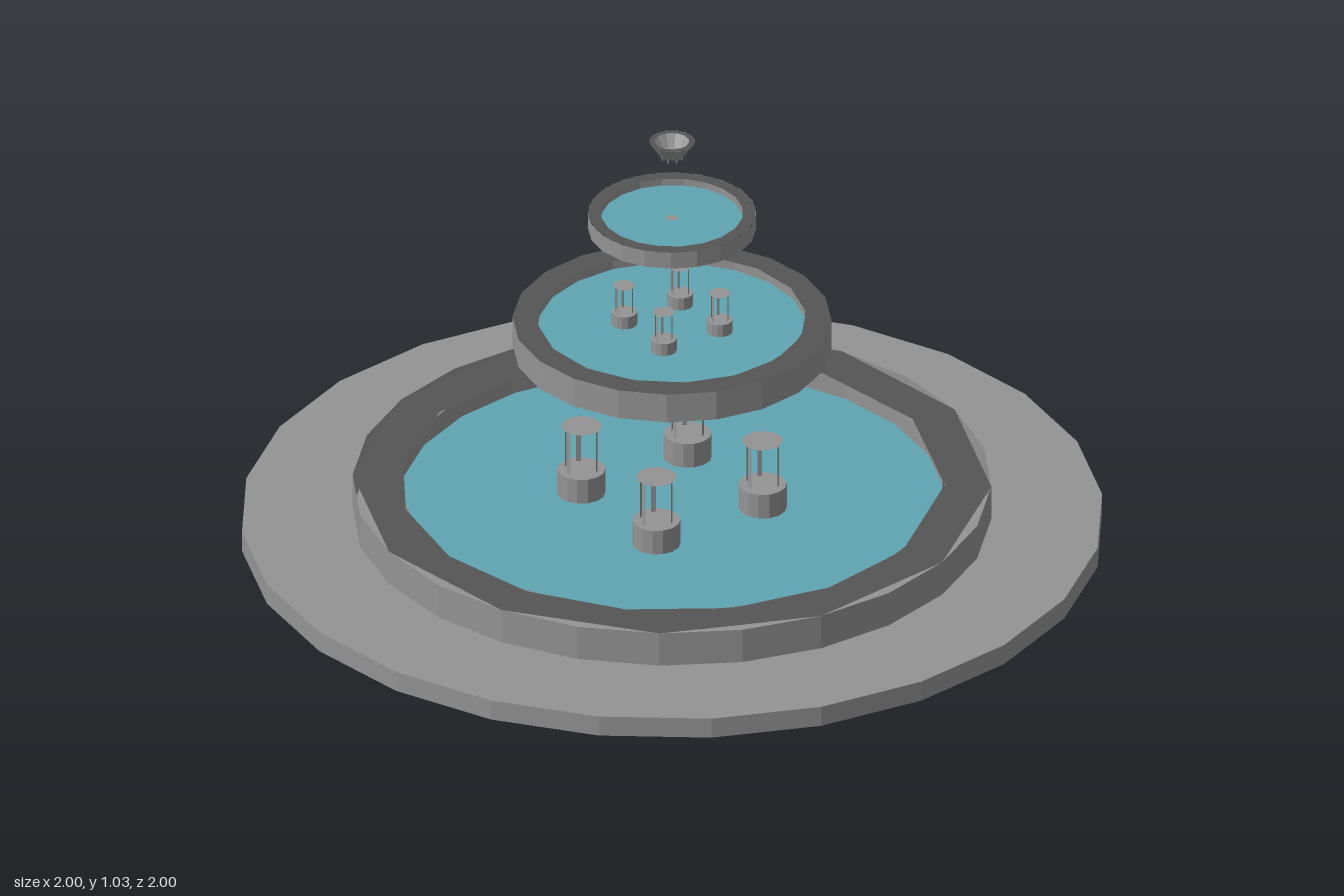
import * as THREE from 'three';

const deg = Math.PI / 180;
const mat = (name, color, side = THREE.FrontSide) => {
  const m = new THREE.MeshStandardMaterial({ color, flatShading: true, side });
  m.name = name;
  return m;
};

export function createModel() {
  const stone = mat('stone', 0x949494);
  const thinStone = mat('thin stone', 0x949494, THREE.DoubleSide);
  const darkStone = mat('dark stone', 0x555555, THREE.DoubleSide);
  const water = mat('water', 0x5fa5b2);

  const model = new THREE.Group();
  model.name = 'fountain';

  const add = (parent, name, geometry, material, x = 0, y = 0, z = 0) => {
    const mesh = new THREE.Mesh(geometry, material);
    mesh.name = name;
    mesh.position.set(x, y, z);
    parent.add(mesh);
    return mesh;
  };
  const disc = (r, sides) => new THREE.CircleGeometry(r, sides).rotateX(-Math.PI / 2);
  const evenAngles = (n, start) => Array.from({ length: n }, (_, i) => start + (i * 360) / n);
  // Angles run from +x towards +z, seen from above.
  const ring = (r, angles) => angles.map(a => new THREE.Vector2(r * Math.cos(a * deg), -r * Math.sin(a * deg)));

  // Broad paved base
  add(model, 'base', new THREE.CylinderGeometry(1, 1, 0.05, 24), stone, 0, 0.025, 0);

  // A basin: outer and inner walls, floor, water and a flat dark rim
  function basin(name, { r, inner, y0, y1, level, outerAngles, innerAngles, sides, turn }) {
    const g = new THREE.Group();
    g.name = name;
    const h = y1 - y0;
    add(g, 'outerWall', new THREE.CylinderGeometry(r, r, h, sides, 1, true, turn * deg), thinStone, 0, y0 + h / 2, 0);
    add(g, 'innerWall', new THREE.CylinderGeometry(inner, inner, y1 - level, sides, 1, true), thinStone, 0, (y1 + level) / 2, 0);
    add(g, 'underside', new THREE.CircleGeometry(r, sides).rotateX(Math.PI / 2).rotateY(turn * deg), stone, 0, y0 + 0.001, 0);
    add(g, 'water', disc(inner, sides), water, 0, level, 0);
    const shape = new THREE.Shape(ring(r, outerAngles));
    shape.holes.push(new THREE.Path(ring(inner, innerAngles)));
    add(g, 'rim', new THREE.ShapeGeometry(shape).rotateX(-Math.PI / 2), darkStone, 0, y1, 0);
    model.add(g);
  }

  basin('lowerBasin', {
    r: 0.74, inner: 0.632, y0: 0.05, y1: 0.135, level: 0.085, sides: 24, turn: 7.5,
    outerAngles: evenAngles(12, -7.5),
    innerAngles: [-8, -38, -68, -97.5, -127, -158, 180, 157.5, 135, 112.5, 90, 67.5, 45, 22.5],
  });
  basin('middleBasin', {
    r: 0.37, inner: 0.312, y0: 0.49, y1: 0.563, level: 0.54, sides: 20, turn: 8,
    outerAngles: evenAngles(20, 10), innerAngles: evenAngles(16, 7),
  });
  basin('upperBasin', {
    r: 0.195, inner: 0.165, y0: 0.8, y1: 0.842, level: 0.825, sides: 20, turn: 9,
    outerAngles: evenAngles(20, 0), innerAngles: evenAngles(20, 0),
  });
  add(model, 'waterJet', disc(0.014, 10), stone, 0, 0.828, 0);

  // Four pedestals on the axes, each with slender uprights and a flat cap
  function pedestals(name, { spread, r, bottom, top, cap }) {
    for (let i = 0; i < 4; i++) {
      const a = (i * Math.PI) / 2;
      const g = new THREE.Group();
      g.name = name;
      g.position.set(spread * Math.cos(a), 0, spread * Math.sin(a));
      add(g, 'foot', new THREE.CylinderGeometry(r, r, top - bottom, 14), stone, 0, (top + bottom) / 2, 0);
      for (const t of [10, 130, 190, 250]) {
        const strip = add(g, 'upright', new THREE.PlaneGeometry(r * 0.2, cap - top), thinStone,
          r * 0.68 * Math.cos(t * deg), (cap + top) / 2, r * 0.68 * Math.sin(t * deg));
        strip.rotation.y = Math.PI / 2 - t * deg;
      }
      add(g, 'cap', disc(r * 0.85, 12), thinStone, 0, cap, 0);
      model.add(g);
    }
  }
  pedestals('lowerPedestal', { spread: 0.213, r: 0.056, bottom: 0.085, top: 0.147, cap: 0.26 });
  pedestals('middlePedestal', { spread: 0.112, r: 0.03, bottom: 0.54, top: 0.571, cap: 0.64 });

  // Finial: small flared bowl with pointed teeth below
  const finial = new THREE.Group();
  finial.name = 'finial';
  add(finial, 'bowl', new THREE.CylinderGeometry(0.053, 0.028, 0.036, 14, 1, true), thinStone, 0, 1.012, 0);
  add(finial, 'bowlFloor', disc(0.031, 14), thinStone, 0, 0.998, 0);
  add(finial, 'bowlRim', new THREE.RingGeometry(0.04, 0.053, 14).rotateX(-Math.PI / 2), darkStone, 0, 1.03, 0);
  for (let i = 0; i < 7; i++) {
    const a = (i * 2 * Math.PI) / 7;
    add(finial, 'tooth', new THREE.ConeGeometry(0.005, 0.02, 4).rotateX(Math.PI), stone,
      0.023 * Math.cos(a), 0.988, 0.023 * Math.sin(a));
  }
  model.add(finial);

  return model;
}
